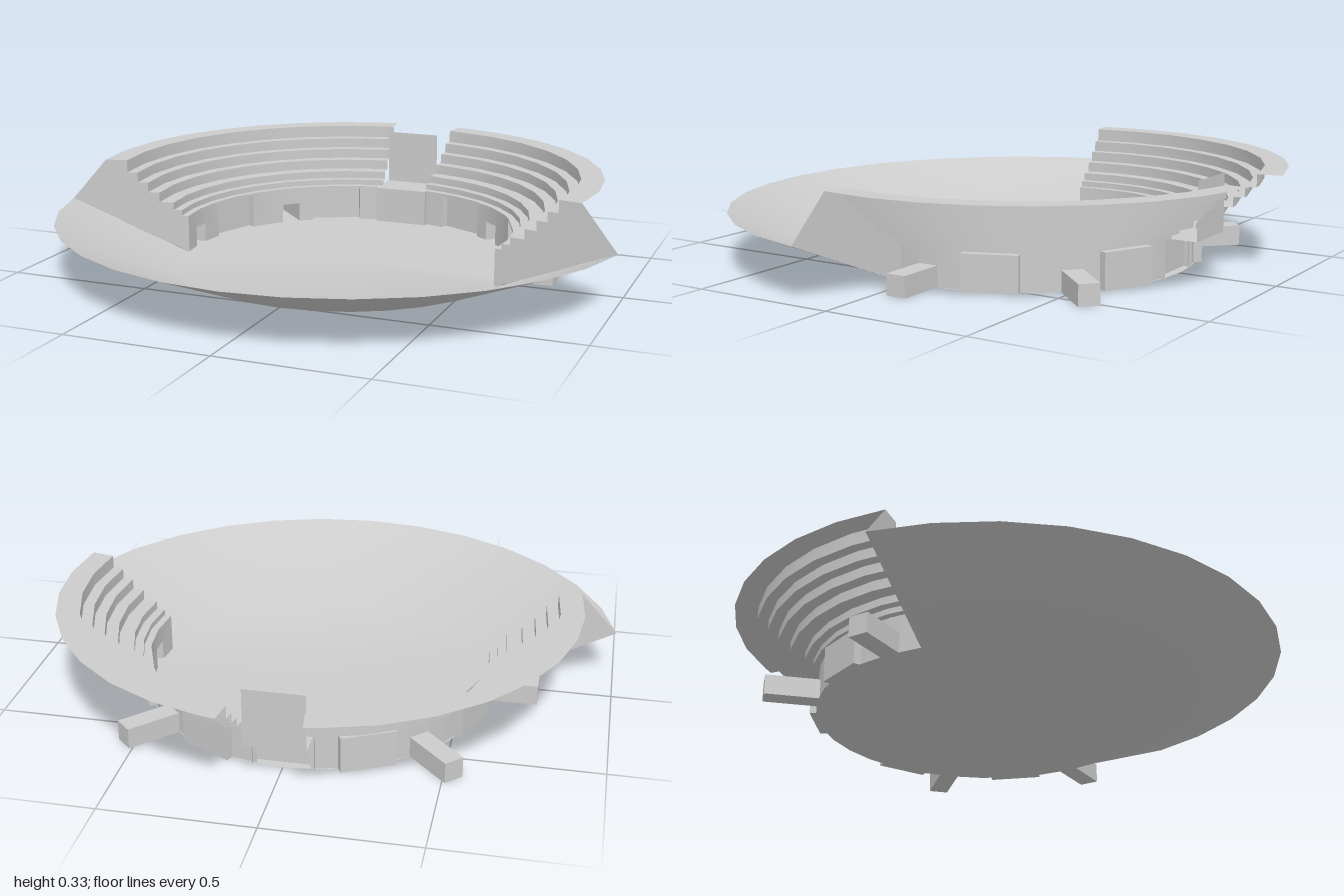
import * as THREE from 'three';
import { mergeGeometries, toCreasedNormals } from 'three/addons/utils/BufferGeometryUtils.js';

const rad = THREE.MathUtils.degToRad;
const mat = new THREE.MeshStandardMaterial({ color: 0xcccccc, side: THREE.DoubleSide });

// main radii, heights and angles (angles run from the side towards the back)
const WALL_R = 0.585, WALL_H = 0.133, RIM_R = 1.02, RIM_H = 0.18;
const START = -11.25, END = 81.6, STEP = 11.25;
const TOP_R = 0.89, TOP_H = 0.33;

// stair profile as [radius, height], from the wall top up to the outer edge
const stairs = [[WALL_R, WALL_H]];
[[0.61, 0.153], [0.64, 0.18], [0.692, 0.215], [0.734, 0.25], [0.772, 0.286], [0.81, TOP_H]]
  .forEach(([r, y]) => stairs.push([r, stairs.at(-1)[1]], [r, y]));
stairs.push([TOP_R, TOP_H]);

function mesh(name, geometry) {
  const m = new THREE.Mesh(geometry, mat);
  m.name = name;
  return m;
}

// profile swept from side angle a0 to a1
function sweep(profile, a0, a1, segments) {
  const pts = profile.map(([r, y]) => new THREE.Vector2(r, y));
  return new THREE.LatheGeometry(pts, segments, rad(90 + a0), rad(a1 - a0));
}

const crease = (list, angle) => toCreasedNormals(mergeGeometries(list), angle);

// box reaching outwards through the wall, open on the inside
function recess(name, angle, width, height, r0, r1) {
  const g = new THREE.BoxGeometry(width, height, r1 - r0);
  g.setIndex(Array.from(g.index.array).slice(0, 30));
  g.clearGroups();
  g.translate(0, height / 2, (r0 + r1) / 2);
  g.rotateY(rad(90 + angle));
  return mesh(name, g);
}

function createSide() {
  const side = new THREE.Group();

  // stepped seating, with a short last piece at the back gap
  const last = START + 8 * STEP;
  side.add(mesh('seatingTiers', crease([
    sweep(stairs, START, last, 8), sweep(stairs, last, END, 1),
  ], 0.4)));

  // arena wall, with low tunnels and shallow niches cut out of it
  const openings = [
    { name: 'tunnel', angle: 0, half: 3.4, height: 0.07, outer: 0.755 },
    { name: 'niche', angle: 21, half: 9, height: 0.123, outer: 0.605 },
    { name: 'tunnel', angle: 46, half: 3.4, height: 0.07, outer: 0.77 },
    { name: 'niche', angle: 64, half: 9, height: 0.123, outer: 0.605 },
  ];
  const pieces = [];
  let from = START;
  const solid = (to) => pieces.push(
    sweep([[WALL_R, 0], [WALL_R, WALL_H]], from, to, Math.max(1, Math.ceil((to - from) / STEP))));
  for (const { name, angle, half, height, outer } of openings) {
    solid(angle - half);
    pieces.push(sweep([[WALL_R, height], [WALL_R, WALL_H]], angle - half, angle + half, 1));
    const h = rad(half);
    side.add(recess(name, angle, 2 * WALL_R * Math.sin(h), height, WALL_R * Math.cos(h), outer));
    from = angle + half;
  }
  solid(END);
  side.add(mesh('arenaWall', crease(pieces, 0.4)));

  // flat wall closing the front end of the seating
  const outline = [[WALL_R, 0], ...stairs, [RIM_R, RIM_H]].map(([r, y]) => new THREE.Vector2(r, y));
  const end = mesh('endWall', new THREE.ShapeGeometry(new THREE.Shape(outline)));
  end.rotation.y = rad(START);
  side.add(end);
  return side;
}

export function createModel() {
  const model = new THREE.Group();
  model.name = 'amphitheatre';
  const body = new THREE.Group();
  body.name = 'arena';
  body.position.z = -0.073;
  model.add(body);

  // round floor running smoothly into the sloping front bank
  body.add(mesh('floorAndBank', crease([
    sweep([[0, 0], [0.59, 0], [RIM_R, RIM_H]], -90 - 78.75, -90 + 78.75, 14),
    sweep([[0, 0], [0.59, 0]], START, 180 - START, 18),
  ], 0.5)));

  // both halves of the seating
  for (const s of [1, -1]) {
    const side = createSide();
    side.name = s > 0 ? 'leftStand' : 'rightStand';
    side.scale.x = s;
    body.add(side);
  }

  // back box: front wall, short cheeks, platform and upright panel
  const box = new THREE.Group();
  box.name = 'backBox';
  const W = 0.2, FRONT = -0.557, BACK = -0.697;
  const frontWall = mesh('boxFront', new THREE.PlaneGeometry(W, WALL_H));
  frontWall.position.set(0, WALL_H / 2, FRONT);
  const platform = mesh('platform', new THREE.PlaneGeometry(W, FRONT - BACK).rotateX(-Math.PI / 2));
  platform.position.set(0, WALL_H, (FRONT + BACK) / 2);
  const panel = mesh('backPanel', new THREE.PlaneGeometry(W, TOP_H - WALL_H));
  panel.position.set(0, (TOP_H + WALL_H) / 2, BACK);
  box.add(frontWall, platform, panel);
  for (const s of [1, -1]) {
    const cheek = mesh('boxCheek', new THREE.PlaneGeometry(0.03, WALL_H).rotateY(s * Math.PI / 2));
    cheek.position.set(s * W / 2, WALL_H / 2, FRONT - 0.015);
    box.add(cheek);
  }
  body.add(box);
  return model;
}
